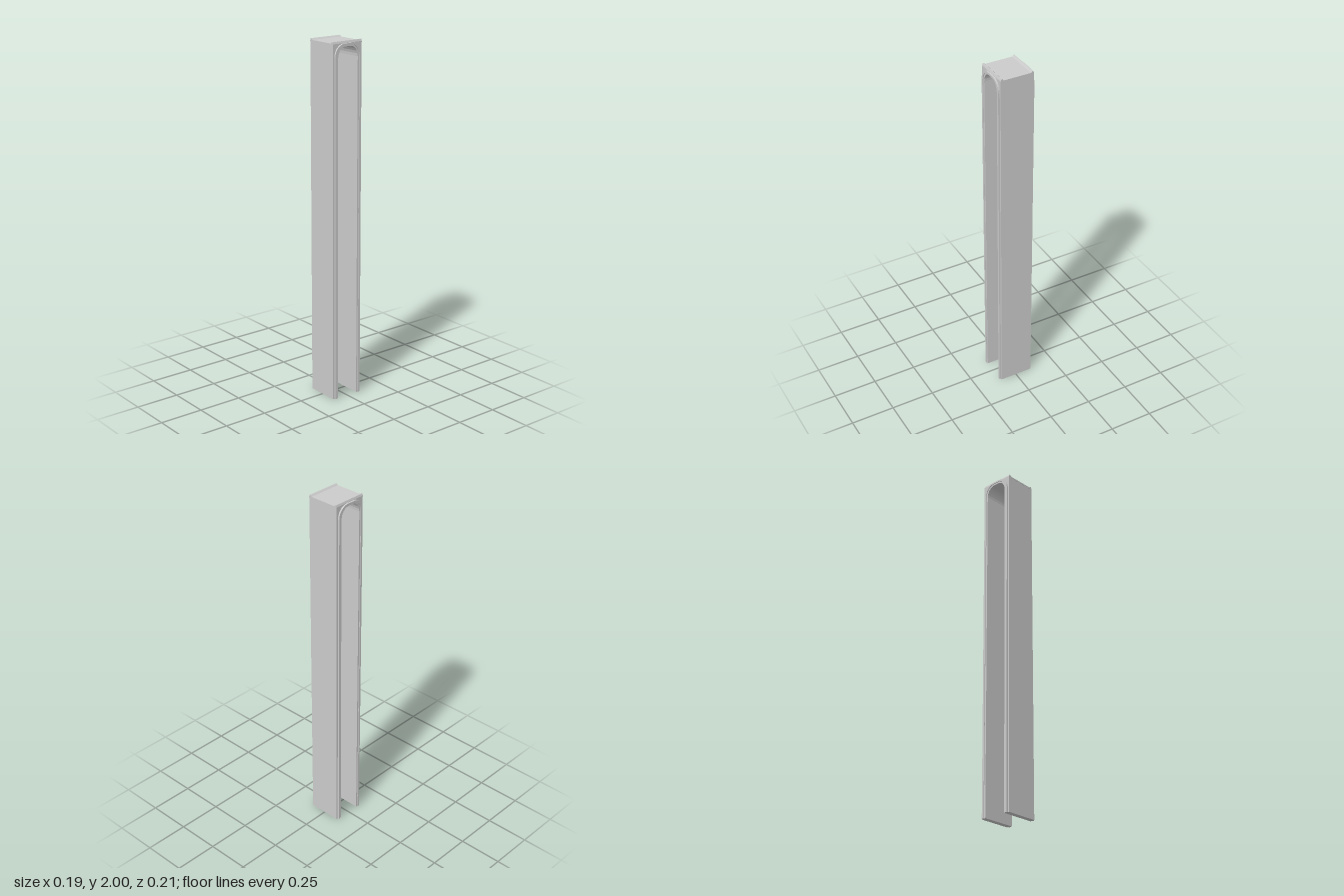
import * as THREE from 'three';

const material = new THREE.MeshStandardMaterial({ color: 0xcccccc, flatShading: true });

// Points of a tall arch with rounded upper corners, from foot to foot
function archPoints(halfWidth, top, rx, ry, steps = 6) {
  const points = [new THREE.Vector2(halfWidth, 0)];
  for (const side of [1, -1]) {
    for (let i = 0; i <= steps; i++) {
      const a = (i / steps) * Math.PI / 2;
      const t = side > 0 ? a : Math.PI / 2 - a;
      points.push(new THREE.Vector2(
        side * (halfWidth - rx + rx * Math.cos(t)), top - ry + ry * Math.sin(t)));
    }
  }
  points.push(new THREE.Vector2(-halfWidth, 0));
  return points;
}

// Solid between an outer outline and an inner arch, open at the foot
function archSolid(name, outer, inner, z0, z1) {
  const shape = new THREE.Shape([...outer, ...[...inner].reverse()]);
  const geometry = new THREE.ExtrudeGeometry(shape, { depth: z1 - z0, bevelEnabled: false });
  geometry.translate(0, 0, z0);
  const mesh = new THREE.Mesh(geometry, material);
  mesh.name = name;
  return mesh;
}

export function createModel() {
  const group = new THREE.Group();
  group.name = 'archway';

  const opening = archPoints(0.066, 1.972, 0.05, 0.06);
  const middle = archPoints(0.075, 1.98, 0.055, 0.064);
  const rim = archPoints(0.087, 1.988, 0.062, 0.068);

  // Square walls with the arched passage cut through
  const block = [[0.096, 0], [0.096, 1.988], [-0.096, 1.988], [-0.096, 0]]
    .map(([x, y]) => new THREE.Vector2(x, y));
  group.add(archSolid('walls', block, opening, -0.095, 0.095));

  // Stepped moulding around the opening on both faces
  for (const [name, s] of [['front', 1], ['back', -1]]) {
    const span = (d) => (s > 0 ? [0.095, d] : [-d, -0.095]);
    group.add(archSolid(name + 'OuterMoulding', rim, middle, ...span(0.104)));
    group.add(archSolid(name + 'InnerMoulding', middle, opening, ...span(0.1)));
  }

  // Roof slab with a raised lip along the front and back edges
  const half = [[0.095, 1.984], [0.095, 1.989], [0.091, 2], [0.086, 2], [0.078, 1.992]];
  const profile = [...half, ...half.map(([z, y]) => [-z, y]).reverse()];
  const roofShape = new THREE.Shape(profile.map(([z, y]) => new THREE.Vector2(z, y)));
  const roofGeometry = new THREE.ExtrudeGeometry(roofShape, { depth: 0.194, bevelEnabled: false });
  roofGeometry.translate(0, 0, -0.097);
  roofGeometry.rotateY(Math.PI / 2);
  const roof = new THREE.Mesh(roofGeometry, material);
  roof.name = 'roof';
  group.add(roof);

  return group;
}
